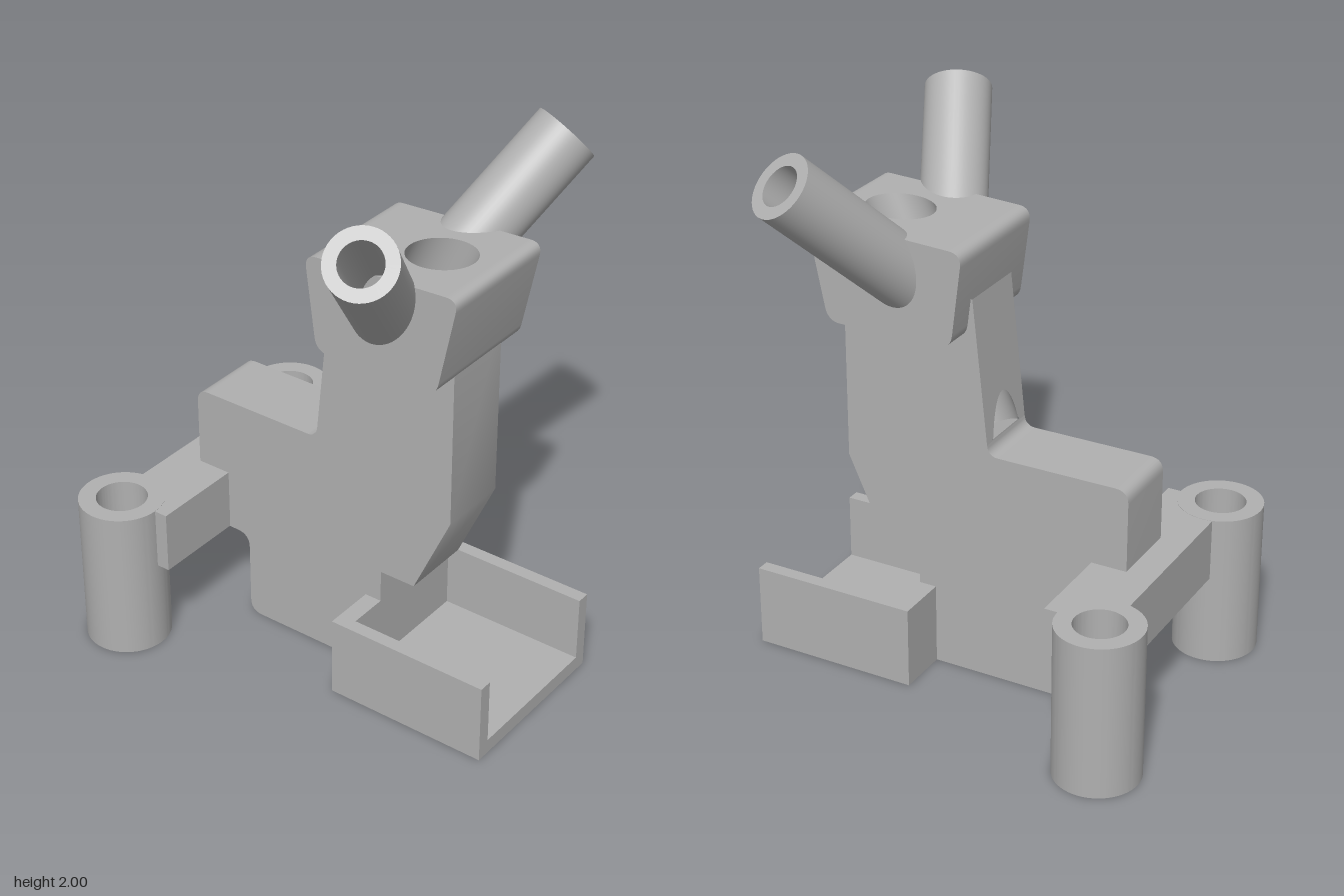
import * as THREE from 'three';
import { toCreasedNormals } from 'three/addons/utils/BufferGeometryUtils.js';

const V = (x, y, z) => new THREE.Vector3(x, y, z);

// Closed outline from [x, y, cornerRadius] points
function roundedShape(pts) {
  const shape = new THREE.Shape();
  pts.forEach(([x, y, r = 0], i) => {
    const p = new THREE.Vector2(x, y);
    const toward = (q) => new THREE.Vector2(q[0], q[1]).sub(p).setLength(r).add(p);
    const a = r ? toward(pts[(i + pts.length - 1) % pts.length]) : p;
    const b = r ? toward(pts[(i + 1) % pts.length]) : p;
    if (i === 0) shape.moveTo(a.x, a.y);
    else shape.lineTo(a.x, a.y);
    if (r) shape.quadraticCurveTo(x, y, b.x, b.y);
  });
  shape.closePath();
  return shape;
}

// Side profile (z, y) extruded across x
function sideExtrude(pts, width) {
  const g = new THREE.ExtrudeGeometry(roundedShape(pts), { depth: width, bevelEnabled: false, curveSegments: 8 });
  g.translate(0, 0, -width / 2).rotateY(-Math.PI / 2);
  return toCreasedNormals(g, 0.6);
}

// Plan outline (x, -z) extruded upward
function planExtrude(shape, y, height) {
  const g = new THREE.ExtrudeGeometry(shape, { depth: height, bevelEnabled: false, curveSegments: 48 });
  g.rotateX(-Math.PI / 2).translate(0, y, 0);
  return toCreasedNormals(g, 0.6);
}

// Plane of a side-profile edge running from a to b, both [z, y]
function edgePlane(a, b) {
  const A = V(0, a[1], a[0]), dir = V(0, b[1], b[0]).sub(A);
  const len = dir.length();
  dir.normalize();
  const normal = V(1, 0, 0).cross(dir);
  return { A, dir, len, normal, plane: new THREE.Plane().setFromNormalAndCoplanarPoint(normal, A) };
}

// Removes the triangles lying in a plane
function removeFace(g, plane) {
  const p = g.attributes.position, n = g.attributes.normal, pos = [], nor = [];
  const v = V();
  for (let i = 0; i < p.count; i += 3) {
    const flat = [0, 1, 2].every((k) => Math.abs(plane.distanceToPoint(v.fromBufferAttribute(p, i + k))) < 1e-4);
    if (flat) continue;
    for (let k = i; k < i + 3; k++) {
      pos.push(p.getX(k), p.getY(k), p.getZ(k));
      nor.push(n.getX(k), n.getY(k), n.getZ(k));
    }
  }
  const out = new THREE.BufferGeometry();
  out.setAttribute('position', new THREE.Float32BufferAttribute(pos, 3));
  out.setAttribute('normal', new THREE.Float32BufferAttribute(nor, 3));
  return out;
}

const SEG = 48;
function frame(d) {
  const x = V(0, 0, 1).cross(d).normalize();
  return { x, y: d.clone().cross(x) };
}
// Where the wall lines of a round bore meet a plane
function ringOnPlane(origin, d, r, plane) {
  const { x, y } = frame(d);
  return Array.from({ length: SEG }, (_, i) => {
    const a = (i / SEG) * Math.PI * 2;
    const p = origin.clone().addScaledVector(x, r * Math.cos(a)).addScaledVector(y, r * Math.sin(a));
    return p.addScaledVector(d, -plane.distanceToPoint(p) / plane.normal.dot(d));
  });
}
// Round wall between two rings, facing out or in
function sleeve(from, to, inward) {
  const pos = [...from, ...to].flatMap((p) => p.toArray()), idx = [];
  for (let i = 0; i < SEG; i++) {
    const j = (i + 1) % SEG, a = i, b = j, c = i + SEG, e = j + SEG;
    idx.push(...(inward ? [a, c, b, b, c, e] : [a, b, c, b, e, c]));
  }
  const g = new THREE.BufferGeometry();
  g.setAttribute('position', new THREE.Float32BufferAttribute(pos, 3));
  g.setIndex(idx);
  g.computeVertexNormals();
  return g;
}
// Flat face on a profile edge with a hole through it
function punchedPanel(edge, width, ring, maxV = Infinity) {
  const w = width / 2;
  const s = new THREE.Shape([[-w, 0], [w, 0], [w, edge.len], [-w, edge.len]].map((p) => new THREE.Vector2(...p)));
  const pts = ring.map((p) => new THREE.Vector2(p.x, Math.min(maxV, p.clone().sub(edge.A).dot(edge.dir))));
  s.holes.push(new THREE.Path(pts));
  const g = new THREE.ShapeGeometry(s);
  return g.applyMatrix4(new THREE.Matrix4().makeBasis(V(1, 0, 0), edge.dir, edge.normal).setPosition(edge.A));
}
// Straight part of an edge left between its rounded corners
function trimmedEdge(p, q) {
  const a = new THREE.Vector2(p[0], p[1]), b = new THREE.Vector2(q[0], q[1]);
  const u = b.clone().sub(a).normalize();
  a.addScaledVector(u, p[2] || 0);
  b.addScaledVector(u, -(q[2] || 0));
  return edgePlane([a.x, a.y], [b.x, b.y]);
}

export function createModel() {
  const model = new THREE.Group();
  const grey = new THREE.MeshStandardMaterial({ color: 0xb0b0b0 });
  grey.name = 'grey';
  const add = (name, geometry, parent = model) => {
    const m = new THREE.Mesh(geometry, grey);
    m.name = name;
    parent.add(m);
    return m;
  };
  const box = (name, w, h, d, x, y, z) => add(name, new THREE.BoxGeometry(w, h, d).translate(x, y, z));

  // Sloping bore from the top of the head to the back of the neck
  const boreR = 0.112, origin = V(0, 1.666, 0.372), d = V(0, -1, -0.45).normalize();

  // Body and neck
  const bodyW = 0.27;
  const neckTop = [0.02, 1.45], neckFoot = [-0.039, 0.88, 0.04];
  let body = sideExtrude([
    [0.18, 0], [0.18, 0.3], [0.24, 0.3], [0.24, 0.43], [0.38, 0.43], [0.525, 0.75], [0.525, 1.45],
    neckTop, neckFoot, [-0.572, 0.88, 0.05], [-0.572, 0.34], [-0.35, 0.34, 0.055], [-0.35, 0, 0.05],
  ], bodyW);
  const neckBack = trimmedEdge(neckTop, neckFoot);
  body = removeFace(body, neckBack.plane);
  body = removeFace(body, edgePlane([0.525, 1.45], neckTop).plane);
  add('body', body);
  const backRing = ringOnPlane(origin, d, boreR, neckBack.plane);
  const lip = neckBack.len - 0.005;
  add('neckBack', punchedPanel(neckBack, bodyW, backRing, lip));

  // Head
  const headW = 0.48;
  const head = [[0.603, 1.68, 0.05], [0, 1.652, 0.05], [0.045, 1.305, 0.05], [0.525, 1.305, 0.05]];
  const headTop = trimmedEdge(head[0], head[1]), headBase = trimmedEdge(head[2], head[3]);
  add('head', removeFace(removeFace(sideExtrude(head, headW), headTop.plane), headBase.plane));
  const topRing = ringOnPlane(origin, d, boreR, headTop.plane);
  add('headTop', punchedPanel(headTop, headW, topRing));
  add('headBase', punchedPanel(headBase, headW, ringOnPlane(origin, d, boreR, headBase.plane)));

  // Bore wall and its flat floor, cut off at the neck's back
  const lipPoint = neckBack.A.clone().addScaledVector(neckBack.dir, lip);
  const floorPlane = new THREE.Plane().setFromNormalAndCoplanarPoint(d, lipPoint);
  const floorRing = ringOnPlane(origin, d, boreR, floorPlane);
  const ends = floorRing.map((p, i) => (p.clone().sub(backRing[i]).dot(d) < 0 ? p : backRing[i]));
  add('boreWall', sleeve(topRing, ends, true));
  const up = d.clone().negate(), back = up.clone().cross(V(1, 0, 0));
  const chord = lipPoint.clone().sub(origin).dot(back);
  const floor = new THREE.CircleGeometry(boreR, SEG), fp = floor.attributes.position;
  for (let i = 0; i < fp.count; i++) fp.setY(i, Math.min(fp.getY(i), chord));
  const floorCentre = origin.clone().addScaledVector(d, lipPoint.clone().sub(origin).dot(d));
  add('boreFloor', floor.applyMatrix4(new THREE.Matrix4().makeBasis(V(1, 0, 0), back, up).setPosition(floorCentre)));

  // Splayed upper tubes
  for (const s of [1, -1]) {
    const tube = new THREE.Group();
    tube.name = s > 0 ? 'leftTube' : 'rightTube';
    model.add(tube);
    const end = V(s * 0.571, 1.911, 0.472), dir = V(2 * s, 2, 1).normalize();
    const inner = new THREE.Plane(V(s, 0, 0), -0.155);
    const outer = new THREE.Plane().setFromNormalAndCoplanarPoint(dir, end);
    for (const [name, r, inward] of [['tubeOutside', 0.12, false], ['tubeBore', 0.074, true]]) {
      add(name, sleeve(ringOnPlane(end, dir, r, inner), ringOnPlane(end, dir, r, outer), inward), tube);
    }
    const rim = add('tubeRim', new THREE.RingGeometry(0.074, 0.12, SEG), tube);
    rim.position.copy(end);
    rim.quaternion.setFromUnitVectors(V(0, 0, 1), dir);
  }

  // Rear crossbar, hollowed where it meets the posts
  const px = 0.48, pz = 0.645, cut = 0.14, ang = Math.asin((0.68 - pz) / cut);
  const bar = new THREE.Shape();
  bar.moveTo(-px, 0.44);
  bar.lineTo(px, 0.44);
  bar.absarc(px, pz, cut, -Math.PI / 2, Math.PI - ang, true);
  bar.absarc(-px, pz, cut, ang, -Math.PI / 2, true);
  add('crossbar', planExtrude(bar, 0.342, 0.232));

  // Rear hollow posts
  for (const s of [1, -1]) {
    const ring = new THREE.Shape().absarc(s * px, pz, 0.155, 0, Math.PI * 2);
    ring.holes.push(new THREE.Path().absarc(s * px, pz, 0.092, 0, Math.PI * 2, true));
    add(s > 0 ? 'leftPost' : 'rightPost', planExtrude(ring, 0, 0.575));
  }

  // Front tray, open at the top and front
  box('trayFloor', 0.664, 0.055, 0.625, 0, 0.0275, 0.4875);
  box('trayBack', 0.664, 0.305, 0.065, 0, 0.1525, 0.2075);
  for (const s of [1, -1]) box('traySide', 0.05, 0.305, 0.625, s * 0.307, 0.1525, 0.4875);

  return model;
}
